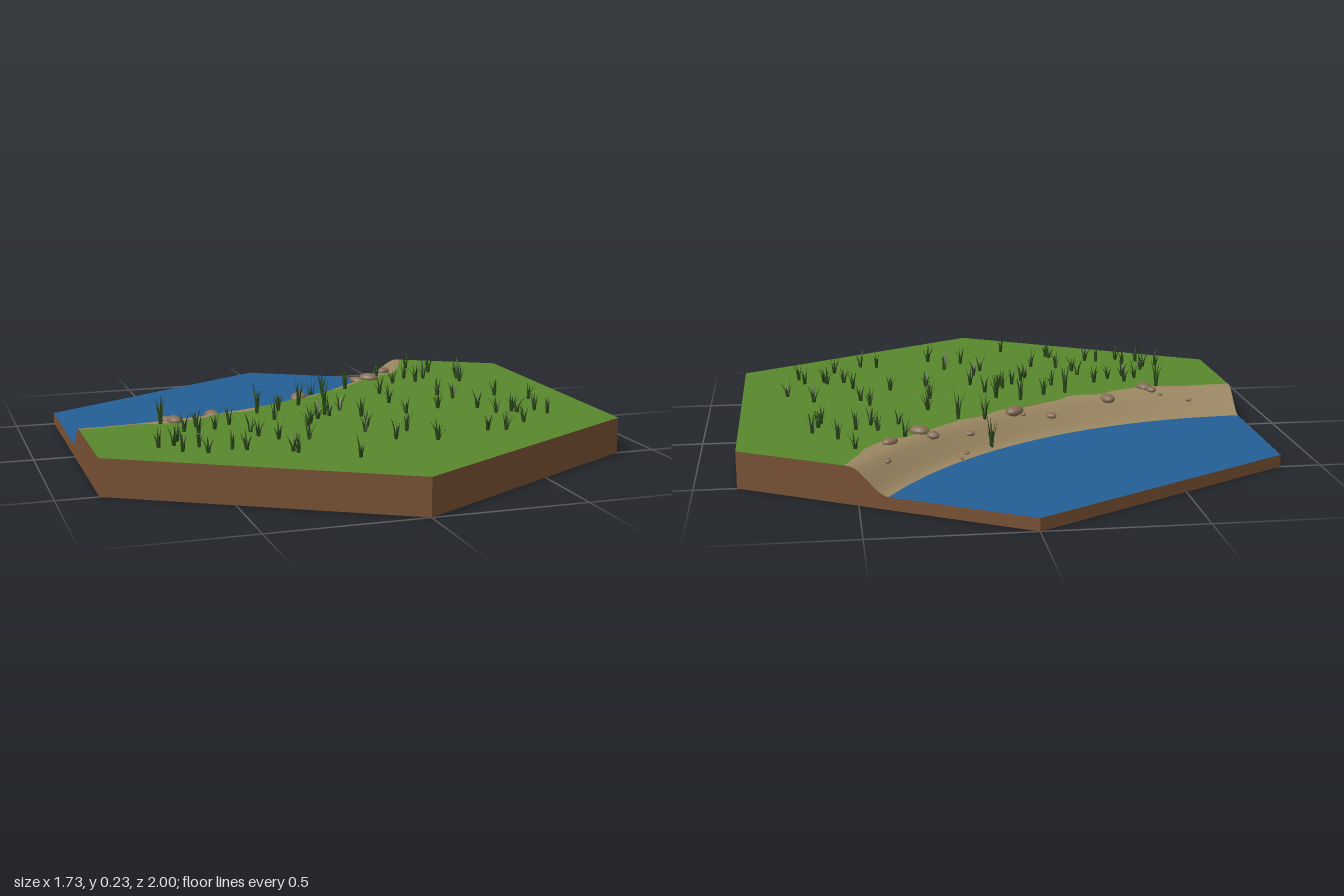
import * as THREE from 'three';
import { mergeGeometries } from 'three/addons/utils/BufferGeometryUtils.js';

const TOP = 0.12, WATER = 0.04, S = Math.sqrt(3) / 2;
const SHORE = 1.478, CREST = 1.61, STEPS = 96, RINGS = 12;
const CX = -S, CZ = -1.5; // centre of the curved shoreline

const mat = (name, color, side = THREE.FrontSide) => {
  const m = new THREE.MeshStandardMaterial({ color, side });
  m.name = name;
  return m;
};

// seeded random numbers
let seed = 11;
const rnd = (a = 0, b = 1) => {
  seed = (seed * 16807) % 2147483647;
  return a + (b - a) * (seed / 2147483647);
};

// point at radius r and angle a (degrees) about the shoreline centre
const polar = (r, a) => {
  const t = THREE.MathUtils.degToRad(a);
  return [CX + r * Math.sin(t), CZ + r * Math.cos(t)];
};
const bankHeight = r => WATER + (TOP - WATER) * THREE.MathUtils.smoothstep(r, SHORE, CREST);
const ground = (x, z) => bankHeight(Math.hypot(x - CX, z - CZ));

// ragged edge between sand and grass: [angle, radius]
const EDGE = [[0, 1.62], [6, 1.615], [11, 1.65], [14.7, 1.634], [17.6, 1.608], [21, 1.636], [24.5, 1.605],
  [29.5, 1.6], [32.3, 1.618], [35.5, 1.602], [38.9, 1.617], [43.7, 1.613], [47.2, 1.618], [50.8, 1.658],
  [53.7, 1.656], [56.6, 1.636], [60, 1.624]];
const grassEdge = a => {
  let i = 1;
  while (i < EDGE.length - 1 && EDGE[i][0] < a) i++;
  const [a0, r0] = EDGE[i - 1], [a1, r1] = EDGE[i];
  return r0 + (r1 - r0) * THREE.MathUtils.smoothstep(a, a0, a1);
};

// flat polygon from [x, z] points
function flat(points, y) {
  const shape = new THREE.Shape(points.map(([x, z]) => new THREE.Vector2(x, -z)));
  return new THREE.ShapeGeometry(shape).rotateX(-Math.PI / 2).translate(0, y, 0);
}

function fromArrays(pos, idx) {
  const g = new THREE.BufferGeometry();
  g.setAttribute('position', new THREE.Float32BufferAttribute(pos, 3));
  if (idx) g.setIndex(idx);
  g.computeVertexNormals();
  return g;
}

// sloping beach between water and grass
function beachGeometry() {
  const pos = [], idx = [], row = RINGS + 1;
  for (let i = 0; i <= STEPS; i++) {
    const a = 60 * i / STEPS, end = grassEdge(a);
    for (let j = 0; j <= RINGS; j++) {
      const r = SHORE + (end - SHORE) * j / RINGS, [x, z] = polar(r, a);
      pos.push(x, bankHeight(r), z);
      if (i < STEPS && j < RINGS) {
        const k = i * row + j;
        idx.push(k, k + 1, k + row, k + 1, k + row + 1, k + row);
      }
    }
  }
  return fromArrays(pos, idx);
}

// walls following the bank, and the underside
function earthGeometry() {
  const bank = a => Array.from({ length: RINGS + 1 }, (_, j) => {
    const r = SHORE + (grassEdge(a) - SHORE) * j / RINGS, [x, z] = polar(r, a);
    return [x, bankHeight(r), z];
  });
  const path = [[0, WATER, -1], [-S, WATER, -0.5], ...bank(0), [-S, TOP, 0.5], [0, TOP, 1],
    [S, TOP, 0.5], [S, TOP, -0.5], ...bank(60).reverse()];
  const pos = [];
  path.forEach(([x, y, z], i) => {
    const [u, v, w] = path[(i + 1) % path.length];
    pos.push(x, y, z, x, 0, z, u, 0, w, x, y, z, u, 0, w, u, v, w);
    pos.push(0, 0, 0, u, 0, w, x, 0, z);
  });
  return fromArrays(pos);
}

// one bent, tapered blade
function blade(x, y, z, dir, height, lean, width) {
  const c = Math.cos(dir), s = Math.sin(dir), pos = [];
  for (const [t, w] of [[0, 1], [0.5, 0.75], [1, 0.08]]) {
    const out = lean * t * t + 0.004, h = height * t, half = width * w / 2;
    pos.push(x + c * out - s * half, y + h, z + s * out + c * half,
      x + c * out + s * half, y + h, z + s * out - c * half);
  }
  return fromArrays(pos, [0, 1, 2, 1, 3, 2, 2, 3, 4, 3, 5, 4]);
}

function tuft(x, z, tall) {
  const blades = [], n = tall ? 7 : 6, turn = rnd(0, 6.28);
  for (let i = 0; i < n; i++) {
    const h = tall ? rnd(0.06, 0.11) : rnd(0.04, 0.07);
    blades.push(blade(x, ground(x, z) - 0.002, z, turn + i * 6.28 / n + rnd(-0.4, 0.4), h, rnd(0.006, 0.027), 0.008));
  }
  return blades;
}

const TUFTS = [[-.5, .2], [-.39, .2], [-.23, .18], [-.55, .25], [-.51, .28], [-.45, .25], [-.35, .32], [-.34, .38],
  [-.29, .44], [-.2, .47], [-.13, .26], [-.15, .3], [-.09, .21], [-.05, .16], [-.04, .18], [.02, .11], [-.18, .05],
  [.06, .22], [.03, .36], [0, .43], [.13, .46], [.06, .55], [.18, .6], [.22, .22], [.24, -.1], [.22, .05],
  [.35, -.26], [.34, -.41], [.42, -.33], [.5, -.52], [.49, -.31], [.55, -.41], [.44, -.26], [.63, -.33], [.6, -.22],
  [.61, -.27], [.43, -.02], [.46, .05], [.62, .05], [.71, .14], [.35, .18], [.48, .22], [.51, .31], [.57, .3],
  [.58, .32], [.65, .31], [.67, .37], [.54, .46], [.38, .53], [.44, .54], [-.6, .37], [-.67, .43], [-.62, .42],
  [-.55, .46], [-.61, .5], [-.54, .54], [-.46, .52], [-.42, .54], [-.29, .6], [-.28, .62], [-.12, .73]];
const REEDS = [[-.26, .07], [-.09, -.01], [-.01, .03], [.05, -.31], [.15, -.22], [.06, -.21], [-.6, .12]];
// x, z, radius, turn
const ROCKS = [[-.57, .07, .022, .3], [-.55, .1, .03, .3], [-.4, .005, .032, .2], [-.18, -.11, .021, .8],
  [-.05, -.14, .036, -.7], [.25, -.38, .027, .6], [.29, -.36, .034, .9], [.39, -.47, .027, -.9], [.405, -.59, .016, 0],
  [.12, -.3, .017, 1.4], [.14, -.38, .012, 0], [.16, -.42, .009, 0], [-.7, .04, .011, 1.5], [-.6, .05, .01, 0],
  [-.08, -.14, .012, 0]];

export function createModel() {
  const group = new THREE.Group();
  const add = (name, geometry, material) => {
    const mesh = new THREE.Mesh(geometry, material);
    mesh.name = name;
    group.add(mesh);
    return mesh;
  };
  const stone = mat('stone', 0x846d54);

  // ground layers
  add('earthBase', earthGeometry(), mat('earth', 0x765033, THREE.DoubleSide));
  const angles = Array.from({ length: STEPS + 1 }, (_, i) => 60 * i / STEPS);
  add('water', flat([[0, -1], [-S, -0.5], ...angles.map(a => polar(SHORE, a))], WATER), mat('water blue', 0x235f96));
  add('beach', beachGeometry(), mat('sand', 0x9b8762));
  const rim = angles.map(a => polar(grassEdge(a), a)).reverse();
  add('meadow', flat([...rim, [-S, 0.5], [0, 1], [S, 0.5], [S, -0.5]], TOP), mat('grass green', 0x59872d));

  // planting
  const blades = mat('blade green', 0x2b4a1a, THREE.DoubleSide);
  add('grassTufts', mergeGeometries(TUFTS.flatMap(([x, z]) => tuft(x, z, false))), blades);
  add('shoreReeds', mergeGeometries(REEDS.flatMap(([x, z]) => tuft(x, z, true))), blades);

  // pebbles along the bank
  const pebble = new THREE.IcosahedronGeometry(1, 2);
  for (const [x, z, r, turn] of ROCKS) {
    const rock = add('shoreRock', pebble, stone);
    rock.position.set(x, ground(x, z) + r * 0.15, z);
    rock.scale.set(r * 0.75, r * 0.5, r * 1.05);
    rock.rotation.y = turn;
  }
  return group;
}
